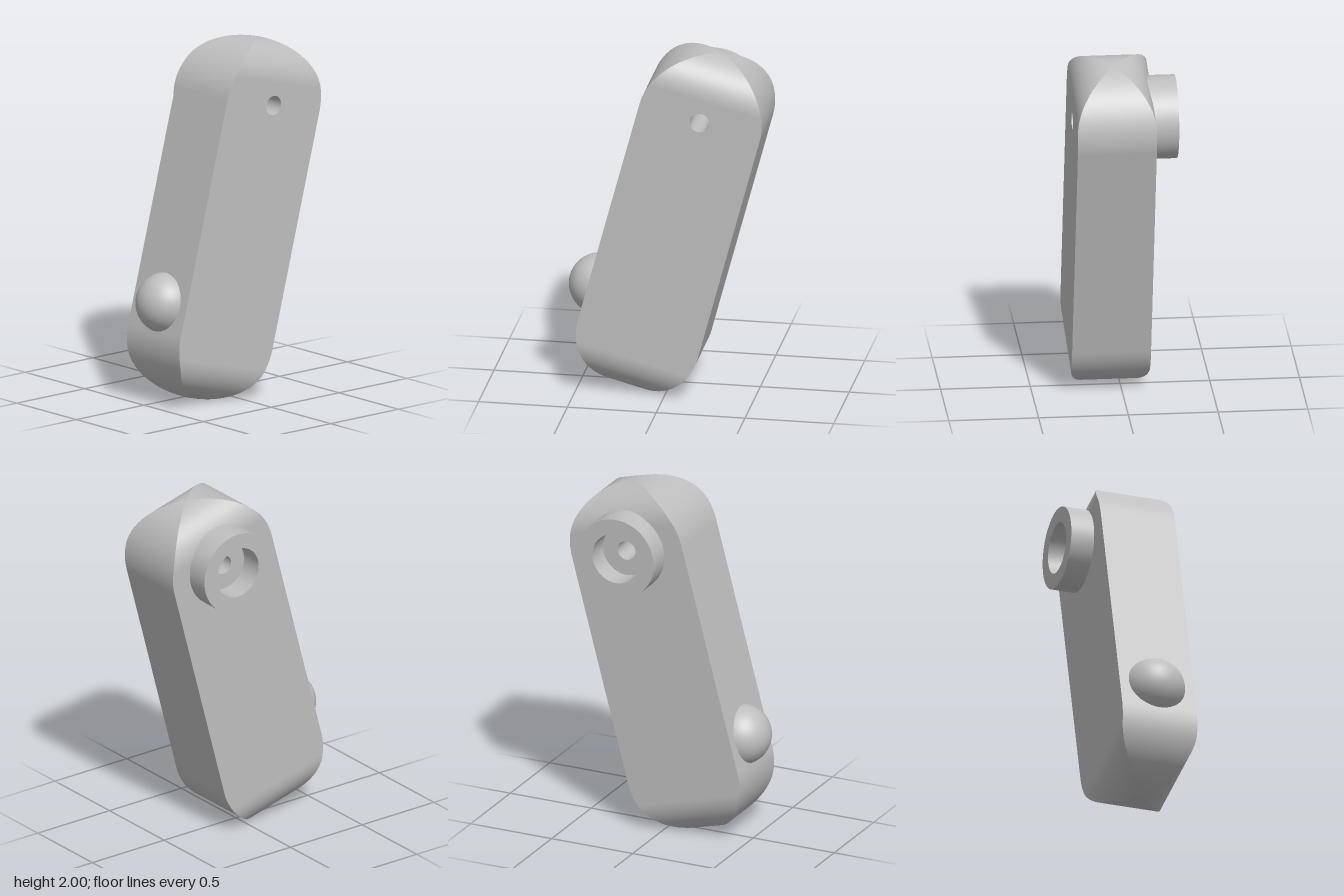
import * as THREE from 'three';
import { toCreasedNormals } from 'three/addons/utils/BufferGeometryUtils.js';

const R = 0.35;      // end radius seen from the side
const H = 0.22;      // half width, also the end radius seen from the front
const L = 0.673;     // half distance between the two end centres
const HOLE = 0.055;
const N = 28;

// Strip between two matching point lists
function ruled(a, b) {
  const pos = [], idx = [];
  a.forEach((p, i) => {
    pos.push(...p, ...b[i]);
    if (i) {
      const k = 2 * (i - 1);
      idx.push(k, k + 1, k + 3, k, k + 3, k + 2);
    }
  });
  const g = new THREE.BufferGeometry();
  g.setAttribute('position', new THREE.Float32BufferAttribute(pos, 3));
  g.setIndex(idx);
  g.computeVertexNormals();
  return g;
}

// Point where the side rounding meets the front rounding
function crease(phi) {
  const v = R - H + H * Math.sin(phi);
  return { x: H * Math.cos(phi), v, w: Math.sqrt(Math.max(0, R * R - v * v)) };
}

export function createModel() {
  const grey = new THREE.MeshStandardMaterial({ color: 0xbfbfbf, side: THREE.DoubleSide });
  grey.name = 'grey';
  const model = new THREE.Group();
  const body = new THREE.Group();
  body.name = 'body';
  body.position.set(0.065, 1, -0.033);
  body.rotation.x = -THREE.MathUtils.degToRad(14.9);
  model.add(body);

  const add = (name, geometry, parent = body) => {
    const mesh = new THREE.Mesh(geometry, grey);
    mesh.name = name;
    parent.add(mesh);
    return mesh;
  };

  // Quarter outline: plain arc at full width, then the narrowing crease
  const arc = [], tip = [];
  const start = Math.acos((R - H) / R);
  for (let i = 0; i <= 8; i++) {
    const t = Math.PI / 2 + (start - Math.PI / 2) * i / 8;
    arc.push({ x: H, w: R * Math.sin(t), v: R * Math.cos(t) });
  }
  for (let i = 1; i <= N; i++) tip.push(crease(Math.PI / 2 * i / N));
  const loop = (quarter) => {
    const top = quarter.map(p => ({ x: p.x, w: p.w, y: L + p.v }));
    const half = [...top, ...top.slice().reverse().map(p => ({ ...p, w: -p.w }))];
    return [...half, ...half.map(p => ({ x: p.x, w: -p.w, y: -p.y }))];
  };

  // Front, back and rounded ends
  const rim = loop([...arc, ...tip]);
  rim.push(rim[0]);
  add('bodyRim', ruled(rim.map(p => [-p.x, p.y, p.w]), rim.map(p => [p.x, p.y, p.w])));

  // Rounded shoulders at both ends
  const caps = [];
  for (let i = 0; i <= 2 * N; i++) caps.push(crease(Math.PI / 2 * i / N));
  for (const turn of [0, Math.PI]) {
    const g = ruled(caps.map(p => [p.x, L + p.v, p.w]), caps.map(p => [p.x, L + p.v, -p.w]));
    add(turn ? 'bottomShoulder' : 'topShoulder', g.rotateX(turn));
  }

  // Flat side faces with the pin hole
  const side = new THREE.Shape(loop(arc).map(p => new THREE.Vector2(p.w, p.y)));
  side.holes.push(new THREE.Path().absarc(0, L, HOLE, 0, Math.PI * 2, true));
  for (const s of [1, -1]) {
    const g = new THREE.ShapeGeometry(side, 16).rotateY(s * Math.PI / 2).translate(s * H, 0, 0);
    add(s > 0 ? 'leftFace' : 'rightFace', g);
  }
  add('pinHole', new THREE.CylinderGeometry(HOLE, HOLE, 2 * H, 32, 1, true)
    .rotateZ(Math.PI / 2).translate(0, L, 0));

  // Ring boss on the right side
  const ring = [[0.145, 0.355], [0.145, 0.175], [0.233, 0.175], [0.233, 0.355], [0.145, 0.355]];
  const boss = new THREE.LatheGeometry(ring.map(p => new THREE.Vector2(...p)), 64);
  add('boss', toCreasedNormals(boss, 0.6).rotateZ(Math.PI / 2).translate(0, L, 0));

  // Round button on the front
  add('button', new THREE.SphereGeometry(0.172, 48, 32), model).position.set(0.065, 0.58, 0.393);

  return model;
}
